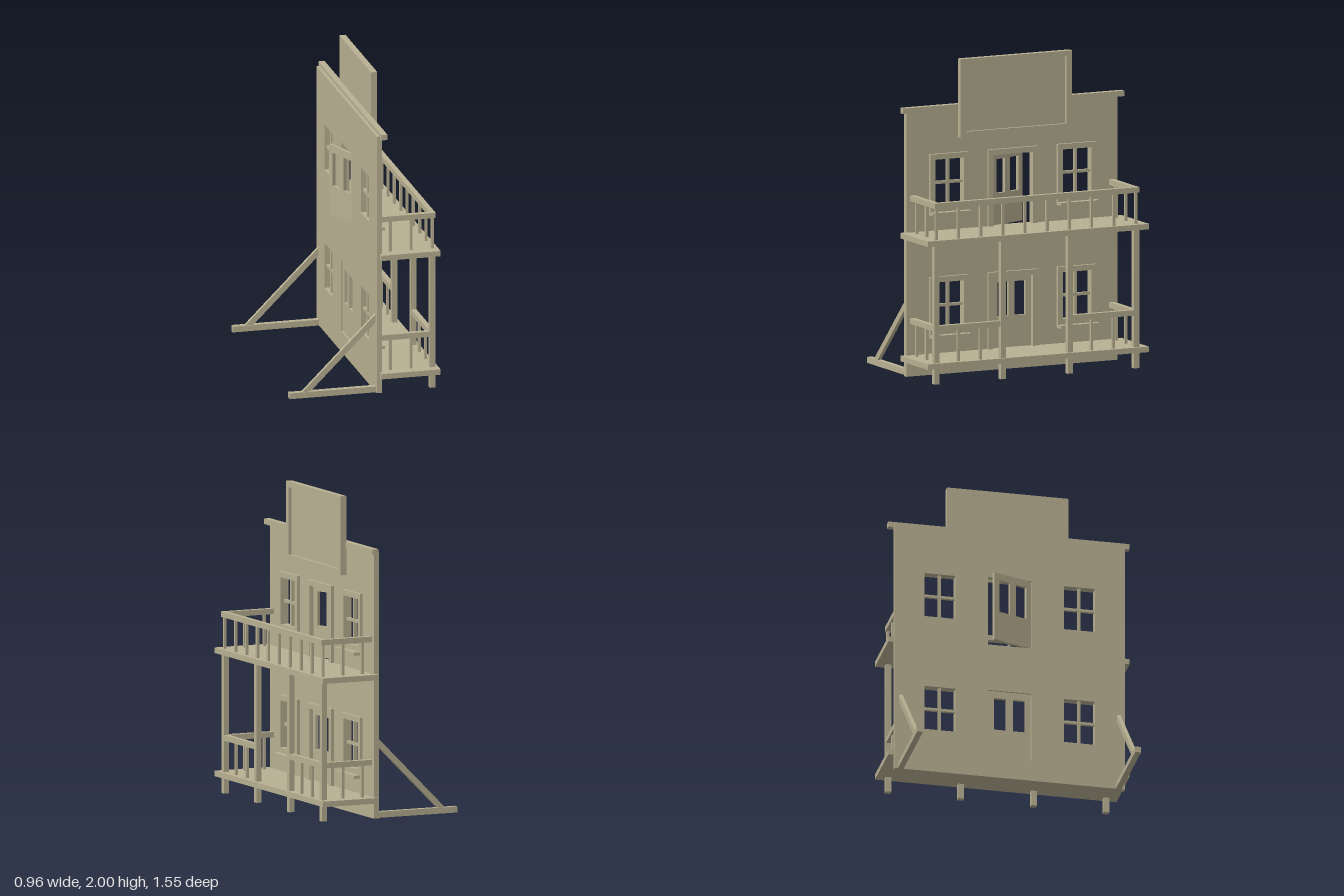
import * as THREE from 'three';

const material = new THREE.MeshStandardMaterial({ color: 0xb8b092 });

export function createModel() {
  const model = new THREE.Group();
  model.name = 'falseFrontBuilding';

  const add = (name, geometry, parent = model) => {
    const mesh = new THREE.Mesh(geometry, material);
    mesh.name = name;
    parent.add(mesh);
    return mesh;
  };
  // Box given by its limits on each axis
  const box = (name, x0, x1, y0, y1, z0, z1) => {
    const g = new THREE.BoxGeometry(x1 - x0, y1 - y0, z1 - z0);
    return add(name, g.translate((x0 + x1) / 2, (y0 + y1) / 2, (z0 + z1) / 2));
  };
  const rect = (C, a0, a1, y0, y1) => new C([
    [a0, y0], [a1, y0], [a1, y1], [a0, y1],
  ].map(p => new THREE.Vector2(...p)));
  // Upright panel facing +x; shape x runs along -z
  const panel = (name, shape, x0, x1, parent) => {
    const g = new THREE.ExtrudeGeometry(shape, { depth: x1 - x0, bevelEnabled: false });
    return add(name, g.rotateY(Math.PI / 2).translate(x0, 0, 0), parent);
  };

  // Wall with window and door openings on both storeys
  const floors = [0.135, 0.915];
  const wall = rect(THREE.Shape, -0.74, 0.74, 0, 1.69);
  for (const f of floors) {
    wall.holes.push(rect(THREE.Path, -0.14, 0.14, f, f + 0.465));
    for (const s of [-0.4475, 0.4475])
      wall.holes.push(rect(THREE.Path, s - 0.1, s + 0.1, f + 0.155, f + 0.452));
  }
  panel('wall', wall, 0.075, 0.11);
  box('cornice', 0.095, 0.135, 1.675, 1.71, -0.775, 0.775);

  // Blank sign board with raised border
  const border = rect(THREE.Shape, -0.39, 0.39, 1.5, 2);
  border.holes.push(rect(THREE.Path, -0.353, 0.353, 1.537, 1.963));
  panel('signBorder', border, 0.13, 0.17);
  box('signBoard', 0.131, 0.15, 1.51, 1.99, -0.38, 0.38);

  for (const f of floors) {
    // Windows: trim, sill and glazing bars
    for (const c of [-0.4475, 0.4475]) {
      const trim = rect(THREE.Shape, c - 0.135, c + 0.135, f + 0.12, f + 0.487);
      trim.holes.push(rect(THREE.Path, c - 0.1, c + 0.1, f + 0.155, f + 0.452));
      panel('windowTrim', trim, 0.11, 0.13);
      box('windowSill', 0.11, 0.17, f + 0.1, f + 0.12, c - 0.135, c + 0.135);
      box('windowMullion', 0.088, 0.108, f + 0.155, f + 0.452, c - 0.009, c + 0.009);
      box('windowBar', 0.088, 0.108, f + 0.293, f + 0.311, c - 0.1, c + 0.1);
    }

    // Door trim
    const doorTrim = new THREE.Shape([
      [-0.173, f], [-0.138, f], [-0.138, f + 0.452], [0.138, f + 0.452],
      [0.138, f], [0.173, f], [0.173, f + 0.487], [-0.173, f + 0.487],
    ].map(p => new THREE.Vector2(...p)));
    panel('doorTrim', doorTrim, 0.11, 0.13);

    // Door leaf on its hinge; the upper one stands ajar
    const hinge = new THREE.Group();
    hinge.name = 'door';
    hinge.position.set(0.095, f, 0.137);
    hinge.rotation.y = f > 0.5 ? THREE.MathUtils.degToRad(20) : 0;
    const leaf = rect(THREE.Shape, 0, 0.274, 0.001, 0.465);
    for (const a of [0.037, 0.158])
      leaf.holes.push(rect(THREE.Path, a, a + 0.077, 0.2, 0.417));
    panel('doorLeaf', leaf, -0.01, 0.01, hinge);
    model.add(hinge);

    // Deck and end balustrades
    box('deck', 0.095, 0.48, f - 0.035, f, -0.775, 0.775);
    const railEnd = f > 0.5 ? 0.43 : 0.425;
    for (const s of [-1, 1]) {
      const z = s * 0.6985;
      box('sideRail', 0.11, railEnd, f + 0.2, f + 0.235, z - 0.0175, z + 0.0175);
      for (const x of [0.172, 0.308])
        box('sideBaluster', x - 0.0085, x + 0.0085, f, f + 0.2, z - 0.0085, z + 0.0085);
    }
  }

  // Upper front balustrade
  box('upperRail', 0.43, 0.463, 1.115, 1.15, -0.716, 0.716);
  for (let i = 0; i < 10; i++) {
    const z = -0.7 + i * 1.4 / 9;
    box('upperBaluster', 0.437, 0.454, 0.915, 1.115, z - 0.0085, z + 0.0085);
  }

  for (const s of [-1, 1]) {
    // Porch posts
    for (const z of [0.7, 0.235])
      box('post', 0.425, 0.46, 0, 0.88, s * z - 0.0185, s * z + 0.0185);

    // Lower front balustrade on each side of the steps opening
    const ends = [s * 0.235, s * 0.7].sort((a, b) => a - b);
    box('lowerRail', 0.426, 0.459, 0.335, 0.37, ...ends);
    for (const z of [0.39, 0.543])
      box('lowerBaluster', 0.434, 0.451, 0.135, 0.335, s * z - 0.0085, s * z + 0.0085);

    // Rear foot and diagonal brace
    const z = s * 0.7;
    box('foot', -0.484, 0.075, 0, 0.038, z - 0.0185, z + 0.0185);
    const brace = new THREE.Shape([
      [-0.4, 0.038], [-0.348, 0.038], [0.075, 0.46], [0.075, 0.512],
    ].map(p => new THREE.Vector2(...p)));
    const g = new THREE.ExtrudeGeometry(brace, { depth: 0.024, bevelEnabled: false });
    add('brace', g.translate(0, 0, z - 0.012));
  }
  return model;
}
